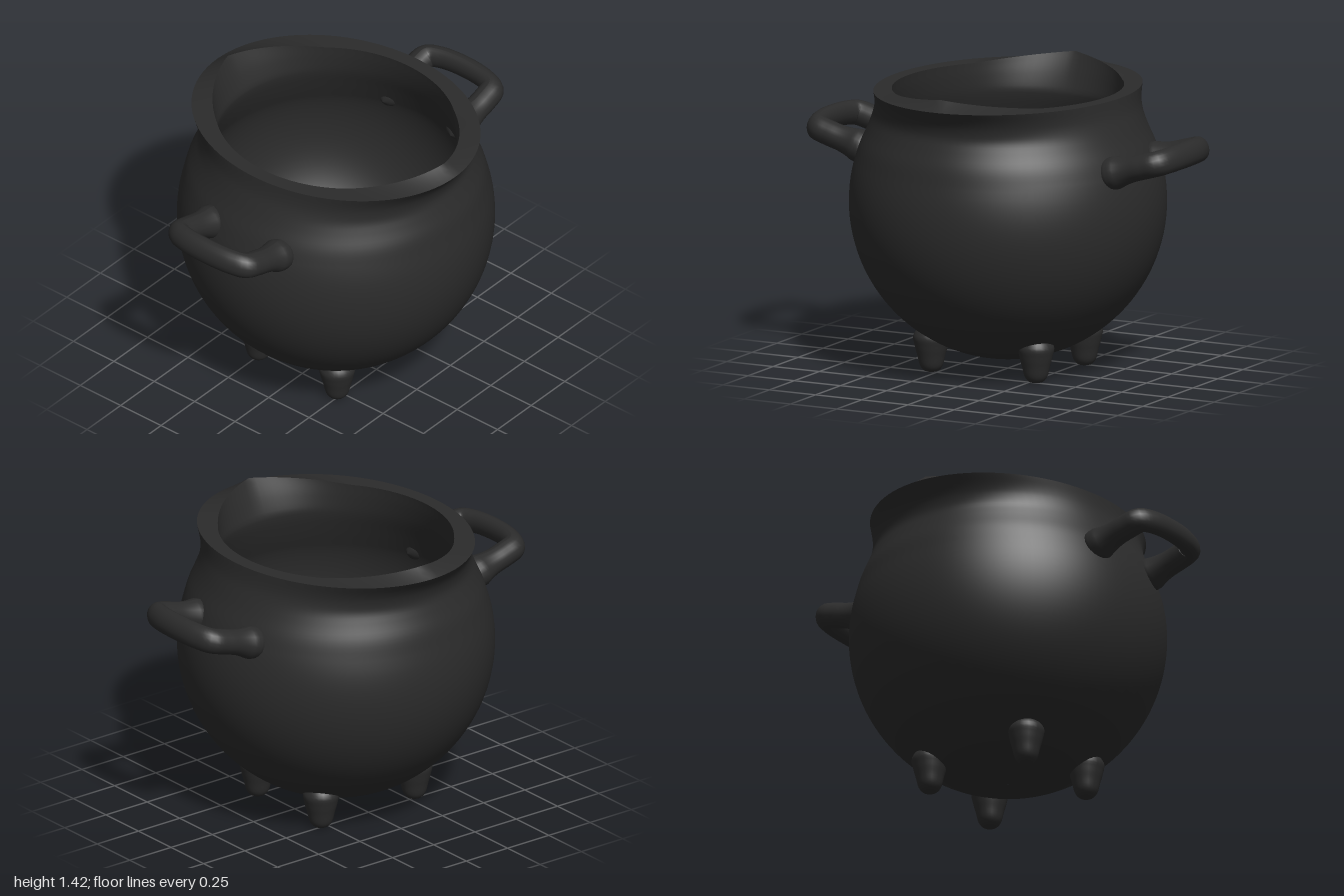
import * as THREE from 'three';

const iron = new THREE.MeshStandardMaterial({ color: 0x2b2b2b });
const SIDES = 96;

// Skin over elliptical rings (x radius, height, z radius). peak(t) says how far
// a ring is drawn up into the two pointed lips at front and back.
function skin(rings, peak = () => 0) {
  const pos = [], index = [];
  rings.forEach((r, i) => {
    const p = peak(i / (rings.length - 1));
    for (let j = 0; j < SIDES; j++) {
      const a = (j / SIDES) * Math.PI * 2;
      const x = r.x * Math.sin(a), c = Math.cos(a);
      const lip = p * Math.max(0, 1 - Math.abs(x) / 0.4);
      pos.push(x, r.y + 0.05 * lip, r.z * c + Math.sign(c) * 0.075 * lip);
      if (i === 0) continue;
      const k = (j + 1) % SIDES, lo = (i - 1) * SIDES, hi = i * SIDES;
      index.push(lo + j, lo + k, hi + j, lo + k, hi + k, hi + j);
    }
  });
  const g = new THREE.BufferGeometry();
  g.setAttribute('position', new THREE.Float32BufferAttribute(pos, 3));
  g.setIndex(index);
  g.computeVertexNormals();
  return g;
}

// Rings of a sphere from its bottom up to a given height
function bowl(radius, centreY, topY, count) {
  const end = Math.acos((centreY - topY) / radius);
  return Array.from({ length: count + 1 }, (_, i) => {
    const a = Math.max(0.002, (end * i) / count);
    const r = radius * Math.sin(a);
    return new THREE.Vector3(r, centreY - radius * Math.cos(a), r);
  });
}

const v = (x, y, z) => new THREE.Vector3(x, y, z);
const smooth = (pts, n) => new THREE.CatmullRomCurve3(pts).getPoints(n);

function mesh(name, geometry) {
  const m = new THREE.Mesh(geometry, iron);
  m.name = name;
  return m;
}

// Loop handle: rounded U in the xz plane, thinner across the bar, flared at the roots
function handleGeometry() {
  const path = new THREE.CatmullRomCurve3([
    v(-0.13, 0, 0.21), v(0, 0, 0.21), v(0.13, 0, 0.212), v(0.205, 0, 0.2), v(0.232, 0, 0.14),
    v(0.245, 0, 0), v(0.232, 0, -0.14), v(0.205, 0, -0.2), v(0.13, 0, -0.212), v(0, 0, -0.21), v(-0.13, 0, -0.21),
  ]);
  const steps = 80, around = 20;
  const g = new THREE.TubeGeometry(path, steps, 0.061, around);
  const p = g.attributes.position;
  for (let i = 0; i <= steps; i++) {
    const c = path.getPointAt(i / steps);
    const root = THREE.MathUtils.clamp((0.09 - c.x) / 0.11, 0, 1);
    const tip = THREE.MathUtils.clamp((c.x + 0.13) / 0.07, 0, 1);
    const s = (1 + 0.3 * root * root) * Math.sqrt(tip);
    for (let j = 0; j <= around; j++) {
      const k = i * (around + 1) + j;
      p.setXYZ(k, c.x + (p.getX(k) - c.x) * 0.75 * s, c.y + (p.getY(k) - c.y) * s, c.z + (p.getZ(k) - c.z) * s);
    }
  }
  g.computeVertexNormals();
  return g;
}

export function createModel() {
  const group = new THREE.Group();

  // Round belly, narrowing to a neck that flares only at front and back
  const neck = smooth([
    v(0.734, 1.0, 0.734), v(0.704, 1.09, 0.714), v(0.668, 1.17, 0.683), v(0.644, 1.23, 0.664),
    v(0.626, 1.28, 0.673), v(0.617, 1.32, 0.695), v(0.61, 1.37, 0.737),
  ], 24);
  group.add(mesh('outerWall', skin([...bowl(0.757, 0.815, 1.0, 36).slice(0, -1), ...neck])));

  // Flat rim rising to a pointed lip at front and back
  group.add(mesh('rim', skin([v(0.61, 1.37, 0.737), v(0.575, 1.37, 0.666), v(0.54, 1.37, 0.595)], t => t)));

  // Hollow inside, from the rim down
  const throat = smooth([
    v(0.54, 1.37, 0.595), v(0.55, 1.3, 0.587), v(0.57, 1.22, 0.585), v(0.61, 1.12, 0.612), v(0.659, 1.0, 0.659),
  ], 20);
  const basin = bowl(0.685, 0.815, 1.0, 32).reverse().slice(1);
  group.add(mesh('innerWall', skin([...throat, ...basin], t => Math.max(0, 1 - t * 52 / 9))));

  // A handle on each side, tilted upward
  const handle = handleGeometry();
  for (const side of [1, -1]) {
    const mount = new THREE.Group();
    mount.name = side > 0 ? 'leftHandle' : 'rightHandle';
    mount.rotation.y = side > 0 ? 0 : Math.PI;
    const loop = mesh('handleLoop', handle);
    loop.position.set(0.723, 1.06, 0);
    loop.rotation.z = 0.28;
    mount.add(loop);
    group.add(mount);
  }

  // Four stubby feet, their rounded tops just showing inside
  const legProfile = new THREE.SplineCurve([
    [0.001, 0], [0.032, 0.005], [0.054, 0.03], [0.067, 0.08], [0.08, 0.13], [0.085, 0.18], [0.04, 0.235], [0.001, 0.25],
  ].map(([r, y]) => new THREE.Vector2(r, y))).getPoints(28);
  const leg = new THREE.LatheGeometry(legProfile, 24);
  for (const x of [1, -1]) for (const z of [1, -1]) {
    const foot = mesh((z > 0 ? 'front' : 'back') + (x > 0 ? 'Left' : 'Right') + 'Foot', leg);
    foot.position.set(x * 0.283, 0, z * 0.243);
    group.add(foot);
  }

  return group;
}
